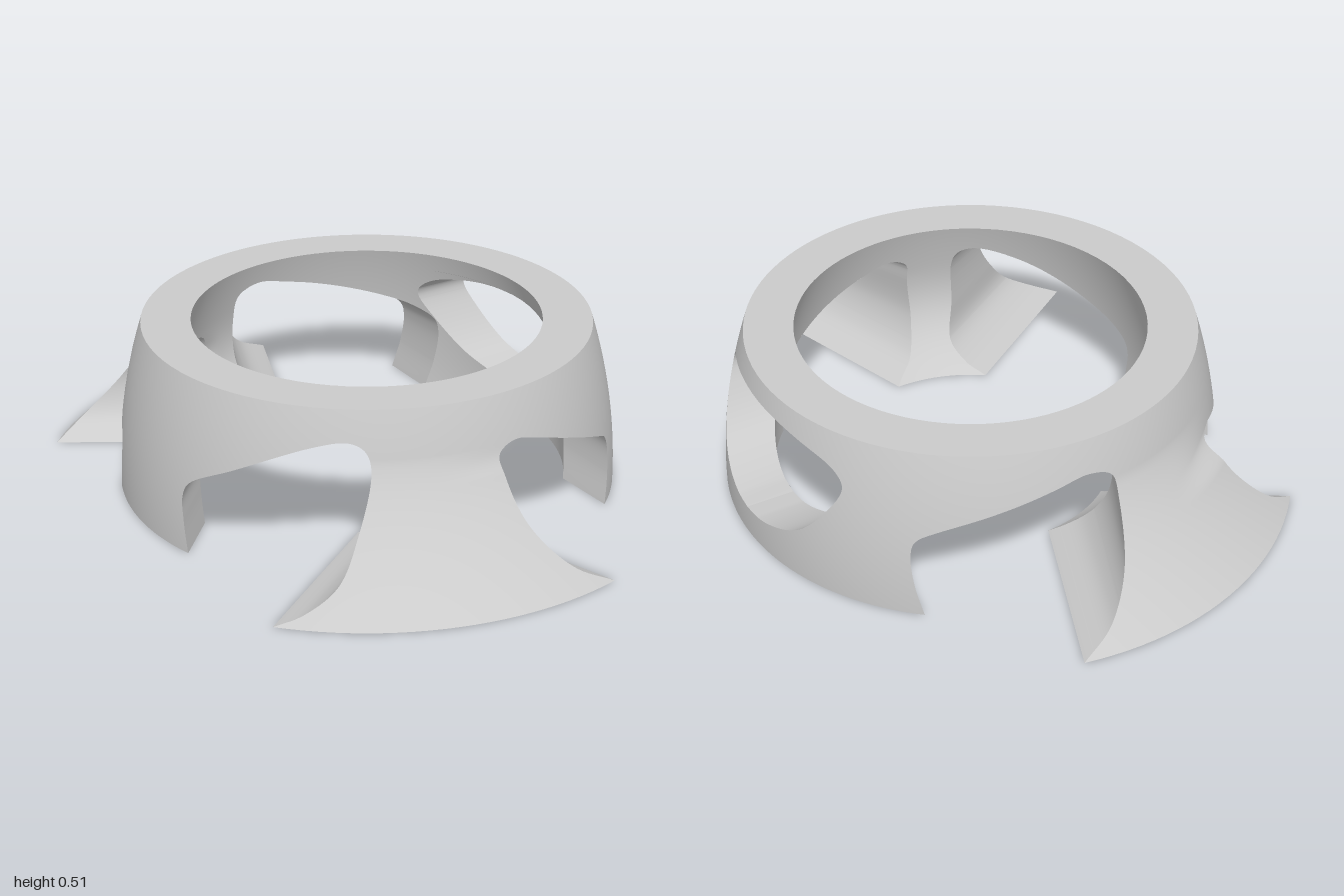
import * as THREE from 'three';

const HEIGHT = 0.51, COLS = 24;
const { degToRad, smoothstep, clamp, lerp } = THREE.MathUtils;

// Radii of the shell by height; 'spread' makes a leg flare outward and inward near the floor
const flare = (y, power) => Math.pow(Math.max(0, (0.375 - y) / 0.375), power);
const outerRadius = (y, spread) => 0.762 - 0.315 * y * y + 0.238 * spread * flare(y, 1.65);
const innerRadius = (y, spread) => 0.612 - 0.315 * y * y - 0.172 * spread * flare(y, 2.8);

// Opening outlines as [sideways, height], running over the top
const sideWindow = [[0, 0.09], [-0.1, 0.1], [-0.25, 0.16], [-0.34, 0.27], [-0.37, 0.36], [-0.33, 0.405],
  [-0.2, 0.438], [0, 0.45], [0.2, 0.438], [0.33, 0.405], [0.37, 0.36], [0.34, 0.27], [0.25, 0.16], [0.1, 0.1], [0, 0.09]];
const frontArch = [[-0.25, 0], [-0.275, 0.1], [-0.278, 0.18], [-0.26, 0.215], [-0.21, 0.24], [0.105, 0.355],
  [0.19, 0.375], [0.245, 0.35], [0.257, 0.29], [0.26, 0.16], [0.21, 0.06], [0.113, 0]];
const tallArch = [[-0.12, 0], [-0.195, 0.03], [-0.263, 0.09], [-0.28, 0.2], [-0.278, 0.35], [-0.255, 0.4],
  [-0.21, 0.42], [-0.11, 0.4], [0.115, 0.3], [0.27, 0.215], [0.29, 0.17], [0.285, 0.1], [0.27, 0]];
const lowArch = [[-0.19, 0], [-0.2, 0.06], [-0.205, 0.14], [-0.19, 0.175], [-0.14, 0.2], [0.08, 0.275],
  [0.14, 0.288], [0.19, 0.27], [0.213, 0.22], [0.212, 0.15], [0.175, 0.06], [0.093, 0]];
const backArch = [[-0.122, 0], [-0.22, 0.06], [-0.28, 0.16], [-0.288, 0.31], [-0.27, 0.385], [-0.2, 0.41],
  [-0.1, 0.39], [0.23, 0.285], [0.295, 0.245], [0.308, 0.2], [0.3, 0.1], [0.275, 0]];

// Splits a smoothed outline at its top into a rising edge on each side. On the inner face the
// outline shifts by legShift and panelShift at its two sides and is 'lift' times as high.
function makeOpening(degrees, pts, legShift = 0, panelShift = 0, lift = 1) {
  const curve = new THREE.CatmullRomCurve3(pts.map(([t, y]) => new THREE.Vector3(t, y, 0)));
  const line = curve.getPoints(pts.length * 12);
  let k = 0;
  line.forEach((p, i) => { if (p.y > line[k].y) k = i; });
  return { axis: degToRad(degrees), before: line.slice(0, k + 1), after: line.slice(k).reverse(),
    bottom: line[0].y, top: line[k].y, legShift, panelShift, lift };
}

// Sideways position of an opening edge at height y
function edgeAt(edge, y) {
  if (y <= edge[0].y) return edge[0].x;
  for (let i = 1; i < edge.length; i++) {
    const a = edge[i - 1], b = edge[i];
    if (y <= b.y) return b.y === a.y ? b.x : a.x + (b.x - a.x) * (y - a.y) / (b.y - a.y);
  }
  return edge[edge.length - 1].x;
}

// Grid surface from point(i, j); it faces along (i direction) x (j direction)
function grid(rows, cols, point, normal) {
  const pos = [], nor = [], index = [];
  for (let i = 0; i <= rows; i++) for (let j = 0; j <= cols; j++) {
    pos.push(...point(i, j));
    if (normal) nor.push(...normal(i, j));
    if (i < rows && j < cols) {
      const a = i * (cols + 1) + j, b = a + cols + 1;
      index.push(a, b, a + 1, b, b + 1, a + 1);
    }
  }
  const geo = new THREE.BufferGeometry();
  geo.setAttribute('position', new THREE.Float32BufferAttribute(pos, 3));
  geo.setIndex(index);
  if (normal) geo.setAttribute('normal', new THREE.Float32BufferAttribute(nor, 3));
  else geo.computeVertexNormals();
  return geo;
}

export function createModel() {
  const model = new THREE.Group();
  model.name = 'ringStand';
  const material = new THREE.MeshStandardMaterial({ color: 0xcccccc, side: THREE.DoubleSide });

  const openings = [makeOpening(0, sideWindow), makeOpening(72, frontArch, 0, -0.06, 1.07),
    makeOpening(144, tallArch, -0.018, 0.034), makeOpening(216, lowArch, 0.045, -0.11, 1.15),
    makeOpening(288, backArch, -0.033, 0.06, 1.07)];

  // Heights of the rows, denser at the ends of the openings
  const heights = new Set();
  for (let i = 0; i <= 60; i++) heights.add(HEIGHT * i / 60);
  for (const o of openings) for (const d of [0, 0.0005, 0.002, 0.005]) {
    heights.add(o.top - d);
    heights.add((o.top - d) * o.lift);
    heights.add(o.bottom + d);
  }
  const ys = [...heights].sort((a, b) => a - b);

  // One section of the wall stands between each pair of openings
  const names = ['leftFrontPanel', 'frontLeg', 'rightPanel', 'backLeg', 'leftBackPanel'];
  names.forEach((name, n) => {
    const isLeg = name.endsWith('Leg');
    const start = openings[n], end = openings[(n + 1) % 5];
    const endAxis = end.axis + (n === 4 ? Math.PI * 2 : 0);
    const section = new THREE.Group();
    section.name = name;
    const add = (part, geo) => {
      const mesh = new THREE.Mesh(geo, material);
      mesh.name = name + part;
      section.add(mesh);
    };

    // A leg's flare fades sideways above its openings to meet the panels
    const fade = (opening, y, d) =>
      1 - smoothstep(y, opening.top - 0.08, opening.top) * (1 - smoothstep(d, 0, 0.6));
    const spread = (y, f) => (isLeg ? fade(start, y, f) * fade(end, y, 1 - f) : 0);

    // Openings are cut along their axis, so edge angles depend on radius
    const edgeAngle = (opening, edge, axis, radius, y, r) => {
      if (radius === outerRadius) return axis + Math.asin(edgeAt(edge, y) / r);
      const t = edgeAt(edge, y / opening.lift);
      const towardPanel = clamp((t * Math.sign(opening.panelShift) + 0.1) / 0.3, 0, 1);
      return axis + Math.asin((t + lerp(opening.legShift, opening.panelShift, towardPanel)) / r);
    };
    const polar = (radius, y, f) => {
      const r = radius(y, spread(y, f));
      const a = edgeAngle(start, start.after, start.axis, radius, y, r);
      const b = edgeAngle(end, end.before, endAxis, radius, y, r);
      return [r, a + (b - a) * f];
    };
    const at = (radius, y, f) => {
      const [r, q] = polar(radius, y, f);
      return [r * Math.cos(q), y, r * Math.sin(q)];
    };
    const normalAt = (radius, y, f, sign) => {
      const e = 0.001, q = polar(radius, y, f)[1];
      const slope = (radius(y + e, spread(y + e, f)) - radius(y - e, spread(y - e, f))) / (2 * e);
      return new THREE.Vector3(Math.cos(q), -slope, Math.sin(q)).normalize().multiplyScalar(sign).toArray();
    };

    // Outer and inner faces
    const last = ys.length - 1;
    add('Outside', grid(last, COLS, (i, j) => at(outerRadius, ys[i], j / COLS),
      (i, j) => normalAt(outerRadius, ys[i], j / COLS, 1)));
    add('Inside', grid(last, COLS, (i, j) => at(innerRadius, ys[i], 1 - j / COLS),
      (i, j) => normalAt(innerRadius, ys[i], 1 - j / COLS, -1)));

    // Cut faces beside the two openings
    const cut = (opening, f, flip) => {
      const rows = ys.filter((y) => y >= opening.bottom && y <= opening.top);
      return grid(rows.length - 1, 1, (i, j) => ((j === 1) === flip
        ? at(outerRadius, rows[i], f) : at(innerRadius, rows[i] * opening.lift, f)));
    };
    add('StartCut', cut(start, 0, true));
    add('EndCut', cut(end, 1, false));

    // Flat rim on top and sole below
    add('Rim', grid(COLS, 1, (i, j) => at(j ? outerRadius : innerRadius, HEIGHT, i / COLS)));
    add('Sole', grid(COLS, 1, (i, j) => at(j ? innerRadius : outerRadius, 0, i / COLS)));
    model.add(section);
  });
  return model;
}
